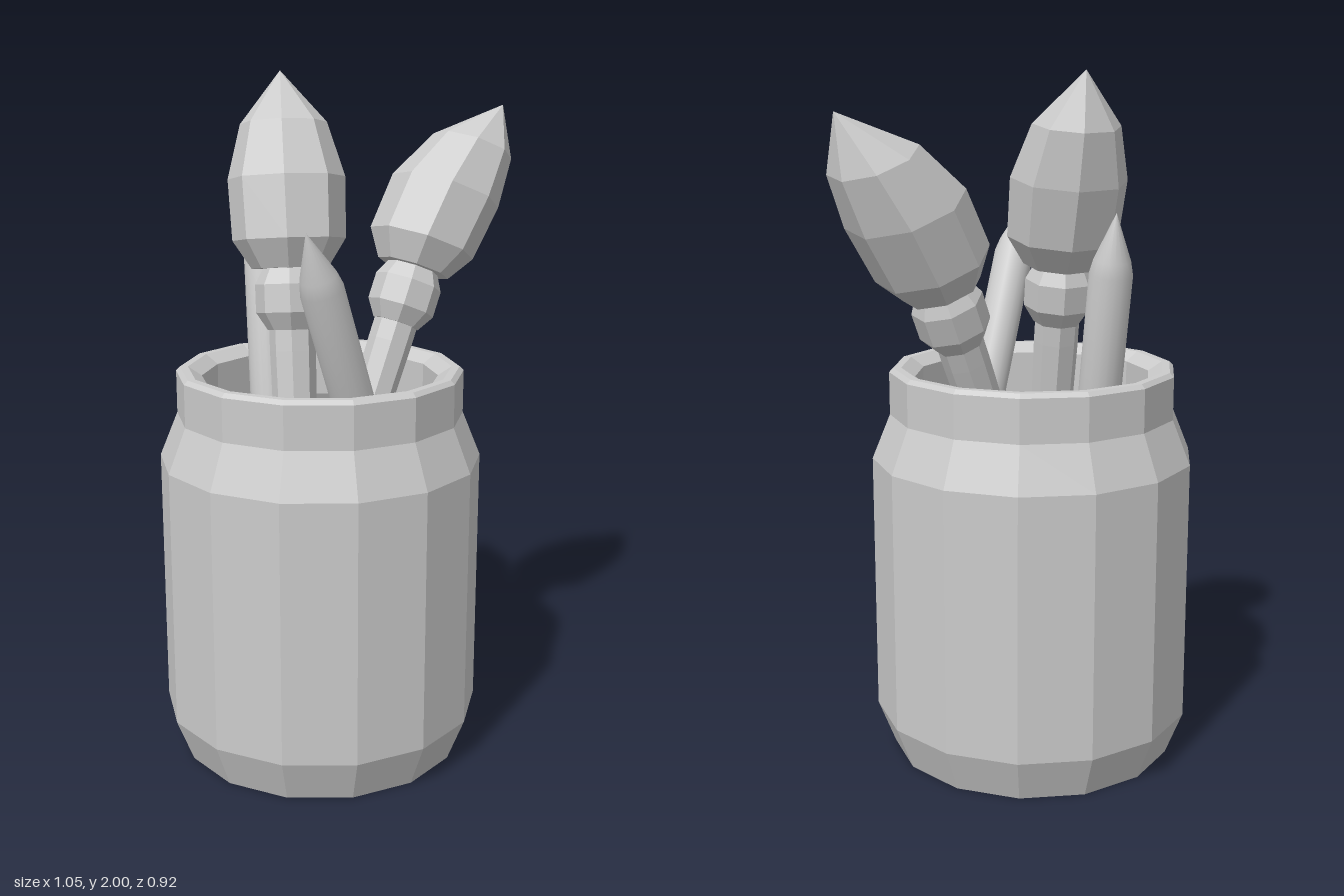
import * as THREE from 'three';
import { toCreasedNormals } from 'three/addons/utils/BufferGeometryUtils.js';

const UP = new THREE.Vector3(0, 1, 0);
const flat = new THREE.MeshStandardMaterial({ color: 0xcccccc, flatShading: true });
const smooth = new THREE.MeshStandardMaterial({ color: 0xcccccc });

// Lathe from [radius, height] pairs listed from the bottom up
function turned(profile, sides, start = 0) {
  return new THREE.LatheGeometry(profile.map(([r, y]) => new THREE.Vector2(r, y)), sides, start);
}

function part(name, geometry, material) {
  const mesh = new THREE.Mesh(geometry, material);
  mesh.name = name;
  return mesh;
}

// Turn geometry so its y axis follows dir, then move it to origin
function place(geometry, origin, dir) {
  geometry.applyQuaternion(new THREE.Quaternion().setFromUnitVectors(UP, dir));
  return geometry.translate(origin.x, origin.y, origin.z);
}

// Paintbrush: origin at the collar, bristles swept towards bend at the tip
function brush(name, origin, direction, bend) {
  const o = new THREE.Vector3(...origin);
  const dir = new THREE.Vector3(...direction).normalize();
  const group = new THREE.Group();
  group.name = name;

  const handle = turned([[0, -1.35], [0.045, -1.35], [0.066, -0.15], [0.066, -0.06]], 8);
  const collar = turned([[0, -0.09], [0.07, -0.09], [0.102, -0.04], [0.102, 0.04], [0.07, 0.1]], 8);

  const base = 0.085, length = 0.545;
  const head = turned([[0, 0], [0.11, 0], [0.162, 0.08], [0.168, 0.25], [0.125, 0.4], [0, length]]
    .map(([r, y]) => [r, y + base]), 8);
  const pos = head.attributes.position;
  const sweep = Array.from({ length: pos.count }, (_, i) => ((pos.getY(i) - base) / length) ** 2);
  place(head, o, dir);
  sweep.forEach((t, i) => pos.setXYZ(i,
    pos.getX(i) + bend[0] * t, pos.getY(i) + bend[1] * t, pos.getZ(i) + bend[2] * t));

  group.add(
    part('handle', place(handle, o, dir), flat),
    part('collar', place(collar, o, dir), flat),
    part('bristles', head, flat));
  return group;
}

// Round pencil from its rounded lower end to its tip
function pencil(name, bottom, tip) {
  const a = new THREE.Vector3(...bottom);
  const axis = new THREE.Vector3(...tip).sub(a);
  const L = axis.length(), r = 0.06;
  const geometry = turned([[0, 0], [r * 0.6, 0.012], [r * 0.9, 0.035], [r, 0.07],
    [r, L - 0.17], [r * 0.85, L - 0.13], [0, L]], 18);
  return part(name, place(toCreasedNormals(geometry, 0.6), a, axis.normalize()), smooth);
}

export function createModel() {
  const model = new THREE.Group();
  model.name = 'brushJar';

  // Fourteen-sided jar: outside, lip, then inside down to the floor
  const jar = turned([[0, 0], [0.422, 0], [0.473, 0.13], [0.473, 0.9], [0.42, 1.03], [0.42, 1.155],
    [0.408, 1.167], [0.385, 1.167], [0.345, 1.14], [0.345, 1.0], [0.41, 0.87], [0.41, 0.15],
    [0.36, 0.05], [0, 0.05]], 14, Math.PI / 2);
  jar.translate(-0.044, 0, 0);
  model.add(part('jar', jar, flat));

  model.add(brush('middleBrush', [-0.125, 1.375, 0.03], [-0.03, 1, -0.17], [-0.015, 0.005, -0.115]));
  model.add(brush('leaningBrush', [0.21, 1.345, -0.185], [0.33, 1, -0.3], [0.115, -0.025, -0.04]));

  model.add(pencil('frontPencil', [0.185, 0.6, 0.07], [-0.075, 1.61, 0.415]));
  model.add(pencil('backPencil', [-0.18, 0.55, -0.1], [-0.225, 1.63, -0.3]));
  return model;
}
